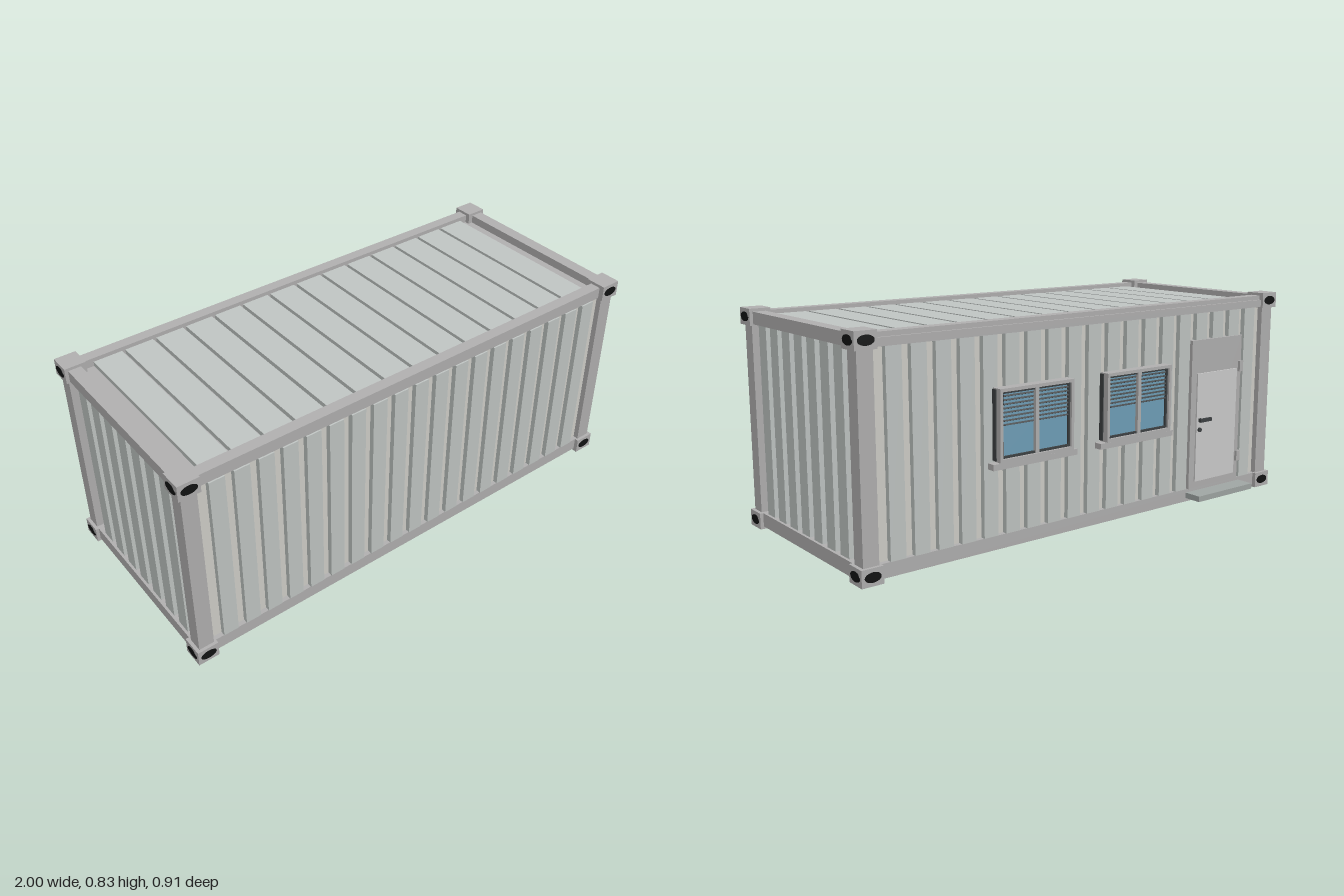
import * as THREE from 'three';

const mat = (color) => new THREE.MeshStandardMaterial({ color });
const M = {
  frame: mat(0xb0afaf), wall: mat(0xcfcec8), rib: mat(0xbfc4c2), light: mat(0xcccccc),
  black: mat(0x111212), dark: mat(0x3c4042), glass: mat(0x6f9fb8), step: mat(0x9fa5a3),
};
const CZ = 0.0275;            // depth centre of the container body
const PITCH = 0.0945;         // spacing of the wall corrugation

// Box given by its limits on each axis
function box(parent, name, material, [x0, x1], [y0, y1], [z0, z1]) {
  const mesh = new THREE.Mesh(new THREE.BoxGeometry(x1 - x0, y1 - y0, z1 - z0), material);
  mesh.position.set((x0 + x1) / 2, (y0 + y1) / 2, (z0 + z1) / 2);
  mesh.name = name;
  parent.add(mesh);
  return mesh;
}

function group(parent, name) {
  const g = new THREE.Group();
  g.name = name;
  parent.add(g);
  return g;
}

// Range from the centre outwards on either side
const side = (s, a, b, c = 0) => (s > 0 ? [c + a, c + b] : [c - b, c - a]);

// Corner casting with an oval hole on its two outer faces
function cornerCasting(parent, sx, sz, y) {
  const g = group(parent, 'cornerCasting');
  box(g, 'castingBlock', M.frame, side(sx, 0.915, 0.998), [y, y + 0.062], side(sz, 0.344, 0.427, CZ));
  const oval = new THREE.CylinderGeometry(1, 1, 0.006, 32).rotateX(Math.PI / 2).scale(0.031, 0.0175, 1);
  const longHole = new THREE.Mesh(oval, M.black);
  longHole.position.set(sx * 0.956, y + 0.031, CZ + sz * 0.4255);
  const endHole = new THREE.Mesh(oval, M.black);
  endHole.rotation.y = Math.PI / 2;
  endHole.position.set(sx * 0.997, y + 0.031, CZ + sz * 0.386);
  longHole.name = endHole.name = 'castingHole';
  g.add(longHole, endHole);
}

// Window with two panes, a half-lowered blind and a sill
function windowUnit(parent, cx) {
  const g = group(parent, 'window');
  const w = 0.165, y0 = 0.335, y1 = 0.595, t = 0.012;
  const zf = [-0.427, -0.385];
  box(g, 'windowBacking', M.dark, [cx - w - 0.004, cx + w + 0.004], [y0 + 0.004, y1 - 0.004], [-0.404, -0.37]);
  box(g, 'glass', M.glass, [cx - w + t, cx + w - t], [y0 + t, y1 - t], [-0.41, -0.39]);
  for (const s of [-1, 1]) {
    box(g, 'windowJamb', M.frame, side(s, w - t, w, cx), [y0, y1], zf);
    // dark sash around each pane
    box(g, 'sashOuter', M.dark, side(s, w - t - 0.008, w - t, cx), [y0 + t, y1 - t], [-0.418, -0.4]);
    for (const y of [y0 + t, y1 - t - 0.008])
      box(g, 'sashRail', M.dark, side(s, 0.008, w - t, cx), [y, y + 0.008], [-0.418, -0.4]);
    for (let i = 0; i < 8; i++) {
      const slat = box(g, 'blindSlat', M.dark, side(s, 0.014, w - t - 0.01, cx),
        [0.462 + i * 0.0145, 0.468 + i * 0.0145], [-0.419, -0.408]);
      slat.rotation.x = 0.3;
    }
  }
  box(g, 'windowHead', M.frame, [cx - w, cx + w], [y1 - t, y1], zf);
  box(g, 'windowBottom', M.frame, [cx - w, cx + w], [y0, y0 + t], zf);
  box(g, 'mullion', M.frame, [cx - 0.008, cx + 0.008], [y0, y1], [-0.424, -0.39]);
  box(g, 'sill', M.frame, [cx - 0.189, cx + 0.189], [0.31, 0.332], [-0.418, -0.37]);
}

function door(parent) {
  const g = group(parent, 'door');
  box(g, 'doorFrame', M.frame, [-0.8, -0.51], [0.062, 0.67], [-0.392, -0.36]);
  box(g, 'doorLeaf', M.light, [-0.772, -0.54], [0.09, 0.535], [-0.398, -0.38]);
  for (const y of [0.14, 0.52])
    box(g, 'hinge', M.frame, [-0.803, -0.783], [y, y + 0.043], [-0.403, -0.385]);
  box(g, 'handleNeck', M.dark, [-0.562, -0.55], [0.338, 0.352], [-0.408, -0.395]);
  box(g, 'handleLever', M.dark, [-0.61, -0.546], [0.338, 0.352], [-0.416, -0.406]);
  const lock = new THREE.Mesh(new THREE.CylinderGeometry(0.009, 0.009, 0.01, 20), M.dark);
  lock.rotation.x = Math.PI / 2;
  lock.position.set(-0.556, 0.305, -0.4);
  lock.name = 'lock';
  g.add(lock);
  box(g, 'doorstep', M.step, [-0.823, -0.505], [0.024, 0.047], [-0.457, -0.375]);
}

export function createModel() {
  const root = new THREE.Group();
  root.name = 'containerCabin';

  // Frame: castings, posts and rails
  const frame = group(root, 'frame');
  for (const sx of [-1, 1]) {
    for (const sz of [-1, 1]) {
      for (const y of [0, 0.772]) cornerCasting(frame, sx, sz, y);
      box(frame, 'cornerPost', M.frame, side(sx, 0.925, 0.985), [0.05, 0.78], side(sz, 0.358, 0.415, CZ));
    }
    box(frame, 'endTopRail', M.frame, side(sx, 0.935, 0.985), [0.777, 0.823], [CZ - 0.38, CZ + 0.38]);
    box(frame, 'endBottomRail', M.frame, side(sx, 0.925, 0.985), [0.01, 0.062], [CZ - 0.38, CZ + 0.38]);
  }
  for (const sz of [-1, 1]) {
    box(frame, 'sideTopRail', M.frame, [-0.95, 0.95], [0.777, 0.823], side(sz, 0.363, 0.407, CZ));
    box(frame, 'sideBottomRail', M.frame, [-0.95, 0.95], [0.01, 0.062], side(sz, 0.363, 0.411, CZ));
  }
  box(frame, 'backDripRail', M.frame, [-0.93, 0.93], [0.777, 0.806], [-0.389, -0.37]);

  // Corrugated walls
  const walls = group(root, 'walls');
  for (const s of [-1, 1]) {
    box(walls, 'sideWall', M.wall, [-0.95, 0.95], [0.055, 0.785], side(s, 0.375, 0.393, CZ));
    for (let i = -9; i <= 9; i++)
      box(walls, 'sideRib', M.rib, [i * PITCH - 0.03, i * PITCH + 0.03], [0.062, 0.777], side(s, 0.39, 0.413, CZ));
    box(walls, 'endWall', M.wall, side(s, 0.935, 0.953), [0.055, 0.785], [CZ - 0.38, CZ + 0.38]);
    for (let i = -3; i <= 3; i++) {
      const z = 0.035 + i * PITCH;
      box(walls, 'endRib', M.rib, side(s, 0.95, 0.975), [0.062, 0.777], [z - 0.0295, z + 0.0295]);
    }
  }

  // Roof sheets and floor
  const roof = group(root, 'roof');
  box(roof, 'roofDeck', M.frame, [-0.94, 0.94], [0.775, 0.79], [CZ - 0.37, CZ + 0.37]);
  for (let i = 0; i < 14; i++) {
    const x = (i - 6.5) * 0.1267;
    box(roof, 'roofPanel', M.rib, [x - 0.0565, x + 0.0565], [0.785, 0.808], [CZ - 0.3625, CZ + 0.3625]);
  }
  box(root, 'floor', M.black, [-0.93, 0.93], [0.04, 0.058], [CZ - 0.365, CZ + 0.365]);

  // Openings on the back
  for (const x of [-0.195, 0.297]) windowUnit(root, x);
  door(root);
  return root;
}
